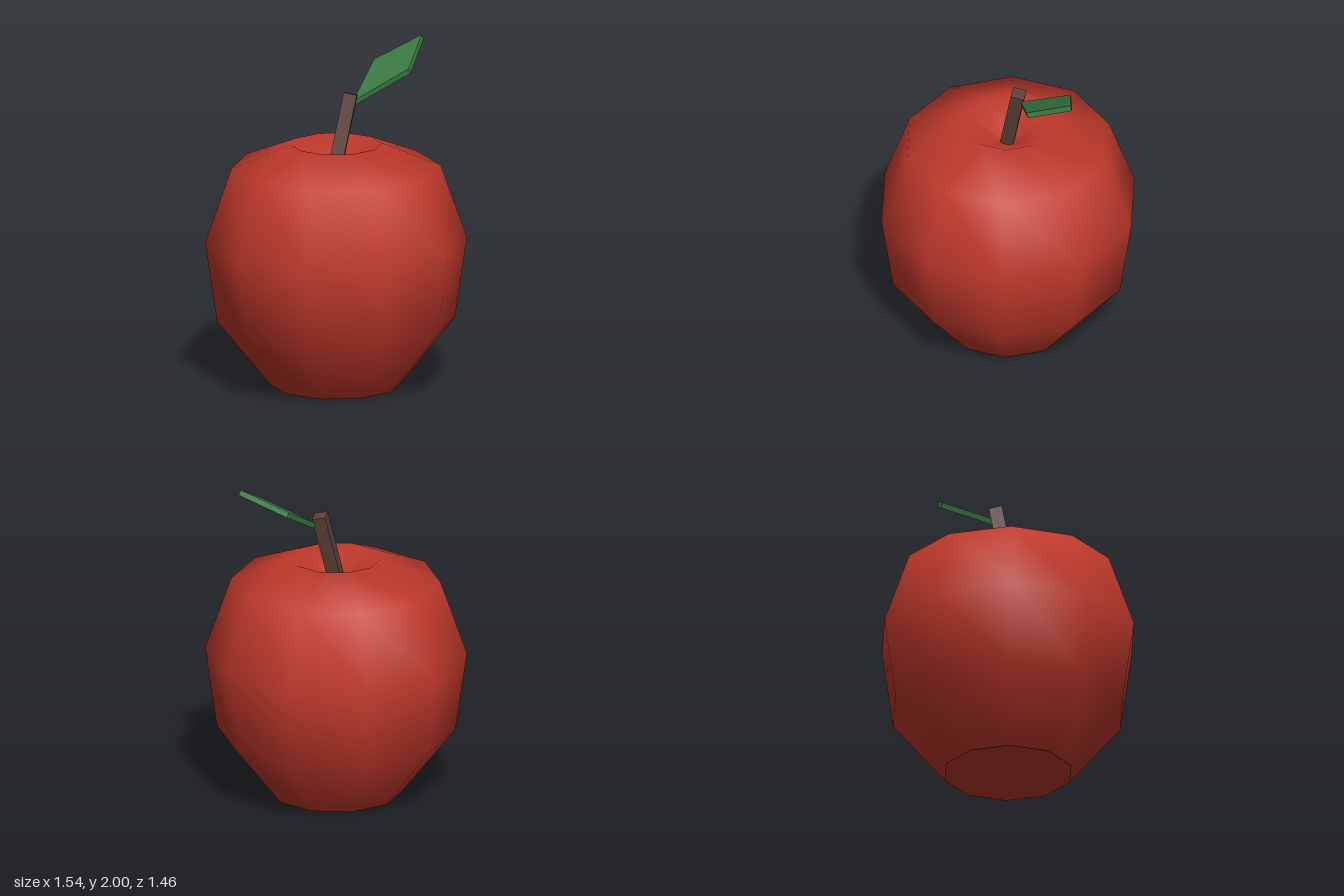
import * as THREE from 'three';

const material = (name, color) => {
  const m = new THREE.MeshStandardMaterial({ color });
  m.name = name;
  return m;
};

export function createModel() {
  const red = material('apple red', 0xc0392b);
  const brown = material('stem brown', 0x5d4037);
  const green = material('leaf green', 0x3a7d44);
  const group = new THREE.Group();
  group.name = 'apple';

  const add = (name, geometry, mat) => {
    const mesh = new THREE.Mesh(geometry, mat);
    mesh.name = name;
    group.add(mesh);
    return mesh;
  };

  // Ten-sided turned shapes with a corner on +x
  const turned = (profile) => new THREE.LatheGeometry(
    profile.map(([r, y]) => new THREE.Vector2(r, y)), 10, Math.PI / 2);

  // Skin, running over the rim into the stem hollow
  add('fruit', turned([
    [0.385, 0], [0.7, 0.39], [0.77, 0.87], [0.615, 1.31], [0.267, 1.45], [0, 1.29],
  ]), red);

  // Hollow in the underside
  add('baseHollow', turned([[0, 0.12], [0.385, 0]]), red);

  // Square stem with a corner forward, leaning towards +x
  const length = 0.46;
  const lean = 0.27;
  const stemGeometry = new THREE.CylinderGeometry(0.056, 0.056, length, 4).toNonIndexed();
  stemGeometry.computeVertexNormals();
  stemGeometry.translate(0, -length / 2, 0);
  const stem = add('stem', stemGeometry, brown);
  stem.position.set(0.112, 1.735, 0);
  stem.rotation.z = -lean;

  // Kite-shaped leaf, laid flat and raised at the tip
  const kite = new THREE.Shape([[0, 0], [0.34, -0.155], [0.612, 0], [0.34, 0.155]]
    .map(([x, y]) => new THREE.Vector2(x, y)));
  const leafGeometry = new THREE.ExtrudeGeometry(kite, { depth: 0.033, bevelEnabled: false });
  leafGeometry.rotateX(-Math.PI / 2);
  const leaf = add('leaf', leafGeometry, green);
  leaf.position.set(0.15, 1.66, 0);
  leaf.rotation.z = 0.534;

  return group;
}
